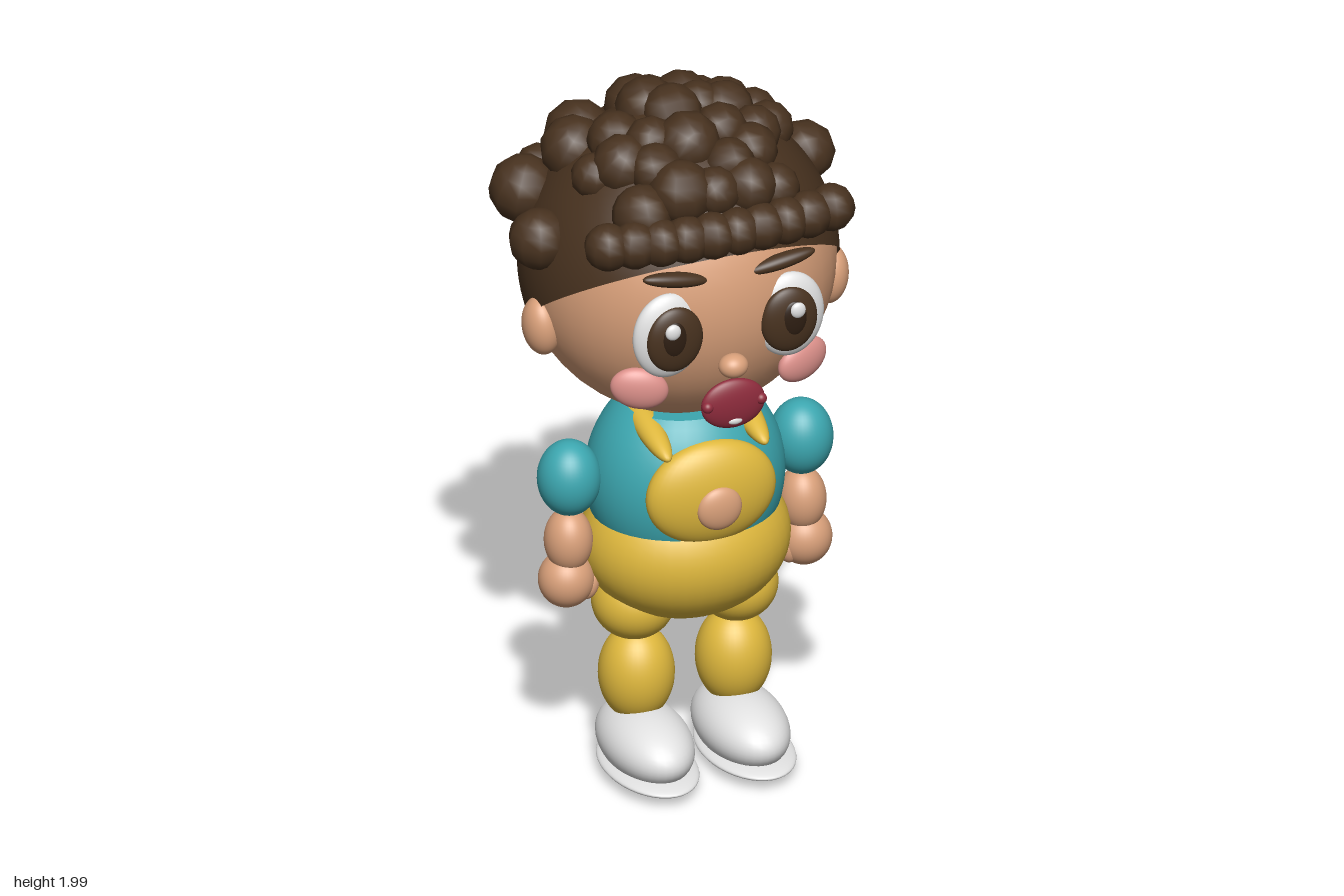
import * as THREE from 'three';

const mat = (name, color) => Object.assign(new THREE.MeshStandardMaterial({ color }), { name });

export function createModel() {
  const model = new THREE.Group();
  model.name = 'curlyHairedChild';

  const skin = mat('skin', 0xd9a07a);
  const hair = mat('hairBrown', 0x48321f);
  const teal = mat('shirtTeal', 0x3ca7b0);
  const yellow = mat('overallYellow', 0xdfb83d);
  const white = mat('white', 0xe2e2e2);
  const pink = mat('cheekPink', 0xdd918b);
  const red = mat('mouthRed', 0x8e2b3c);
  const dark = mat('pupilDark', 0x2e1e12);
  hair.side = THREE.DoubleSide;

  const smooth = new THREE.SphereGeometry(1, 40, 28);
  const curl = new THREE.SphereGeometry(1, 10, 8);
  const midX = 0.006; // the body sits slightly off the hair's centre

  // Ellipsoid part: position, radii, optional rotation
  function blob(name, material, [x, y, z], radii, rot = [0, 0, 0], geometry = smooth) {
    const m = new THREE.Mesh(geometry, material);
    m.name = name;
    m.position.set(x + midX, y, z);
    m.scale.set(...radii);
    m.rotation.set(...rot);
    model.add(m);
  }
  // Mirrored pair; s is +1 for the left side
  function pair(name, material, [x, y, z], radii, [rx, ry, rz] = [0, 0, 0]) {
    for (const s of [1, -1]) {
      blob((s > 0 ? 'left' : 'right') + name, material, [s * x, y, z], radii, [rx, s * ry, s * rz]);
    }
  }

  // Head and tilted hair cap
  const headY = 1.5;
  blob('head', skin, [0, headY, 0], [0.43, 0.432, 0.41]);
  const cap = new THREE.SphereGeometry(1, 48, 32, 0, Math.PI * 2, 0, 1.755).rotateX(-0.61);
  blob('hairCap', hair, [0, headY, 0], [0.437, 0.438, 0.42], [0, 0, 0], cap);

  // Face
  pair('Ear', skin, [0.415, 1.387, 0.05], [0.052, 0.085, 0.062], [0, 0, -0.1]);
  pair('Eye', white, [0.175, 1.467, 0.37], [0.1, 0.125, 0.04]);
  pair('Iris', hair, [0.165, 1.465, 0.396], [0.081, 0.096, 0.03]);
  pair('Pupil', dark, [0.172, 1.475, 0.418], [0.036, 0.052, 0.012]);
  pair('EyeGlint', white, [0.18, 1.502, 0.425], [0.022, 0.023, 0.012]);
  pair('Eyebrow', hair, [0.152, 1.633, 0.375], [0.098, 0.021, 0.025], [0, 0, 0.17]);
  pair('Cheek', pink, [0.235, 1.29, 0.314], [0.08, 0.06, 0.032], [0, 0.3, 0.25]);
  blob('nose', skin, [0, 1.36, 0.408], [0.041, 0.034, 0.037]);
  blob('mouth', red, [0, 1.245, 0.405], [0.092, 0.073, 0.026]);
  pair('MouthCorner', red, [0.077, 1.25, 0.415], [0.016, 0.016, 0.016]);
  blob('tooth', white, [0, 1.2, 0.42], [0.022, 0.012, 0.01]);

  // Shirt with a flat neckline, and trousers meeting it at the waist
  const bodyZ = 0.048;
  const neck = 0.7;
  const shirtSize = [0.275, 0.3, 0.242];
  const shirt = new THREE.SphereGeometry(1, 40, 24, 0, Math.PI * 2, neck, Math.PI - neck);
  blob('shirt', teal, [0, 0.87, bodyZ], shirtSize, [0, 0, 0], shirt);
  const neckline = new THREE.CircleGeometry(Math.sin(neck), 40).rotateX(-Math.PI / 2).translate(0, Math.cos(neck), 0);
  blob('neckline', teal, [0, 0.87, bodyZ], shirtSize, [0, 0, 0], neckline);
  blob('trousers', yellow, [0, 0.675, bodyZ], [0.29, 0.22, 0.255]);

  // Round bib with button, and straps over the shoulders
  blob('bib', yellow, [0, 0.898, 0.24], [0.186, 0.153, 0.072]);
  blob('bibButton', skin, [0, 0.877, 0.305], [0.064, 0.064, 0.028]);
  pair('Strap', yellow, [0.14, 1.072, 0.115], [0.038, 0.034, 0.178], [0.19, 0, 0]);

  // Arms
  pair('Sleeve', teal, [0.335, 0.91, 0.05], [0.087, 0.108, 0.088]);
  pair('Forearm', skin, [0.337, 0.722, 0.05], [0.066, 0.092, 0.07]);
  pair('Hand', skin, [0.343, 0.605, 0.05], [0.077, 0.08, 0.075]);
  pair('Thumb', skin, [0.285, 0.585, 0.07], [0.026, 0.042, 0.028], [0, 0, 0.3]);

  // Legs and shoes
  pair('Thigh', yellow, [0.148, 0.505, 0.047], [0.114, 0.108, 0.118]);
  pair('Leg', yellow, [0.14, 0.285, 0.048], [0.104, 0.14, 0.104]);
  pair('Shoe', white, [0.138, 0.105, 0.107], [0.12, 0.096, 0.207]);
  pair('Sole', white, [0.14, 0.046, 0.132], [0.125, 0.026, 0.212]);

  // Fringe row of curls
  for (let i = 0; i < 10; i++) {
    const t = (i - 4.5) / 4.5;
    blob('fringeCurl', hair, [0.322 * t, 1.73, 0.345 - 0.04 * t * t], [0.066, 0.066, 0.066], [0, i, 0], curl);
  }

  // Curls spread over the crown: x, z, radius, optional lift
  const curls = [
    [-0.417, 0.04, 0.085], [-0.385, -0.16, 0.095, 0.05], [-0.26, -0.11, 0.092], [-0.2, -0.23, 0.095],
    [-0.3, -0.27, 0.062, 0.05], [0.402, -0.1, 0.085, 0.045], [0.19, -0.33, 0.078], [-0.035, -0.39, 0.06, 0.05],
    [0.03, -0.3, 0.09], [0.15, -0.25, 0.08], [0.25, -0.21, 0.07], [0.2, -0.18, 0.08], [0.25, -0.1, 0.075],
    [0.25, 0.01, 0.075], [0.19, 0.07, 0.075], [-0.04, -0.22, 0.085], [0.07, -0.16, 0.08], [-0.05, -0.1, 0.09],
    [-0.01, -0.02, 0.085], [0.08, -0.06, 0.07], [0.15, -0.04, 0.08], [-0.18, 0, 0.08], [-0.27, 0.07, 0.065],
    [-0.2, 0.1, 0.085], [-0.11, 0.08, 0.075], [-0.02, 0.12, 0.09], [0.09, 0.08, 0.075], [0.15, 0.15, 0.075],
    [0.07, 0.2, 0.07], [-0.13, 0.17, 0.075], [-0.2, 0.25, 0.085], [-0.09, 0.25, 0.09], [0.1, 0.26, 0.08],
    [0.18, 0.25, 0.07], [0, 0.27, 0.07],
  ];
  curls.forEach(([x, z, r, lift = 0], i) => {
    const d = 1 - (x / 0.437) ** 2 - (z / 0.422) ** 2;
    const y = headY + 0.418 * Math.sqrt(Math.max(0.12, d)) + lift;
    blob('crownCurl', hair, [x, y, z], [r, r, r], [0.3 * i, i, 0], curl);
  });

  return model;
}
